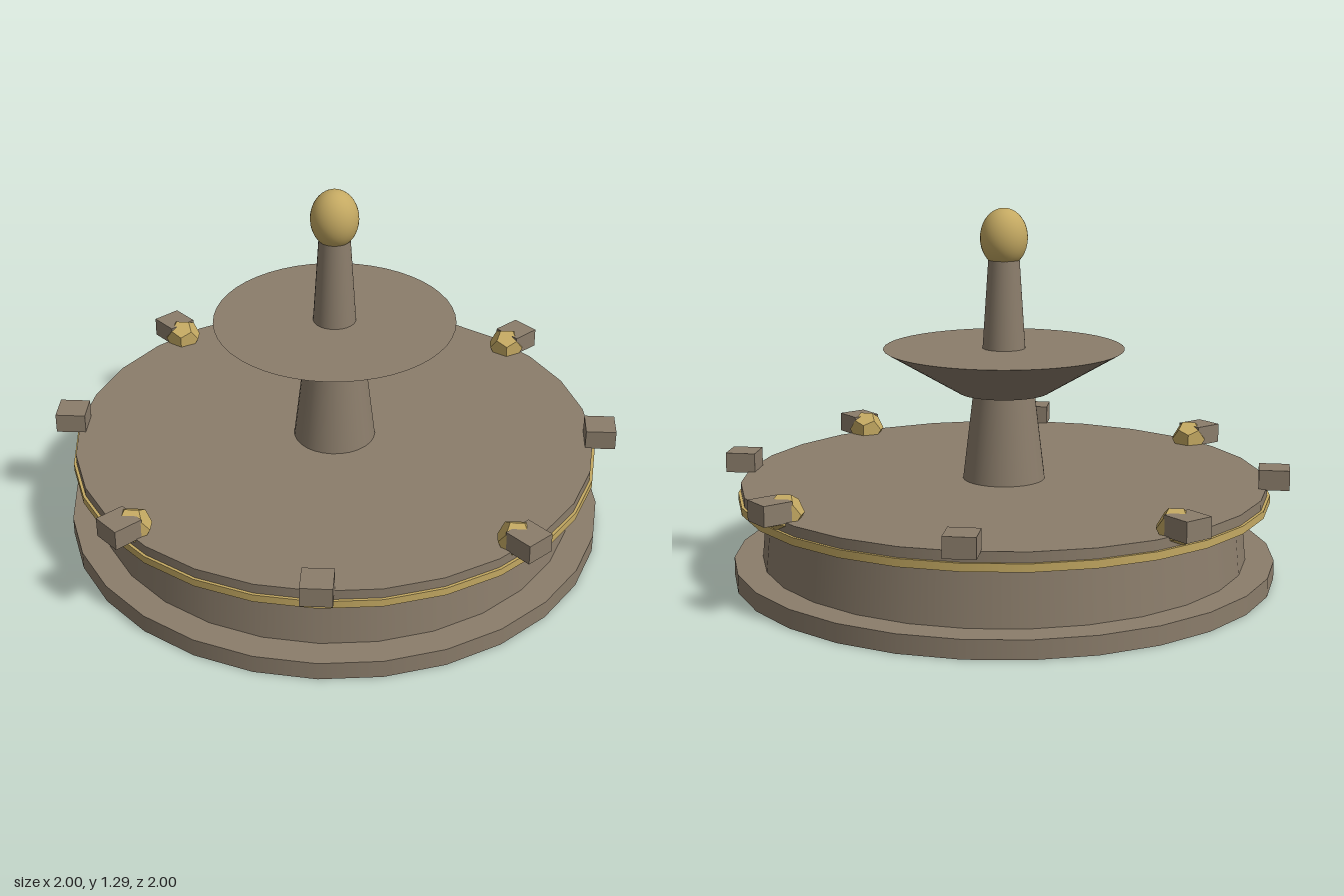
import * as THREE from 'three';

export function createModel() {
  const model = new THREE.Group();
  model.name = 'fountain';

  const stone = new THREE.MeshStandardMaterial({ color: 0x8b7d6b });
  stone.name = 'stone';
  const gold = new THREE.MeshStandardMaterial({ color: 0xc4a962 });
  gold.name = 'gold';
  const facetedGold = gold;

  const add = (name, geometry, material, x = 0, y = 0, z = 0) => {
    const mesh = new THREE.Mesh(geometry, material);
    mesh.name = name;
    mesh.position.set(x, y, z);
    model.add(mesh);
    return mesh;
  };

  // Round tapered part standing between two heights
  const drum = (name, bottomRadius, topRadius, y0, y1, material = stone, sides = 28) =>
    add(name, new THREE.CylinderGeometry(topRadius, bottomRadius, y1 - y0, sides), material, 0, (y0 + y1) / 2, 0);

  // Basin
  drum('basePlinth', 0.955, 0.955, 0, 0.065);
  drum('basinWall', 0.855, 0.835, 0.065, 0.28);
  drum('basinRim', 0.925, 0.925, 0.271, 0.335);
  drum('goldBand', 0.935, 0.935, 0.273, 0.3, gold);

  // Centrepiece
  drum('lowerColumn', 0.145, 0.108, 0.335, 0.645);
  drum('upperBowl', 0.16, 0.422, 0.645, 0.8, stone, 48);
  drum('upperColumn', 0.075, 0.054, 0.8, 1.12);
  const finial = add('finial', new THREE.SphereGeometry(0.083, 32, 20), gold, 0, 1.186, 0);
  finial.scale.y = 1.24;

  // Eight blocks around the rim, with a faceted stud beside each diagonal one
  for (let i = 0; i < 8; i++) {
    const angle = (i * Math.PI) / 4;
    const dx = Math.sin(angle);
    const dz = Math.cos(angle);
    const block = add('rimBlock', new THREE.BoxGeometry(0.106, 0.07, 0.106), stone, dx * 0.947, 0.367, dz * 0.947);
    block.rotation.y = angle;
    if (i % 2 === 1) {
      add('rimStud', new THREE.DodecahedronGeometry(0.066), facetedGold, dx * 0.894, 0.352, dz * 0.894);
    }
  }

  return model;
}
